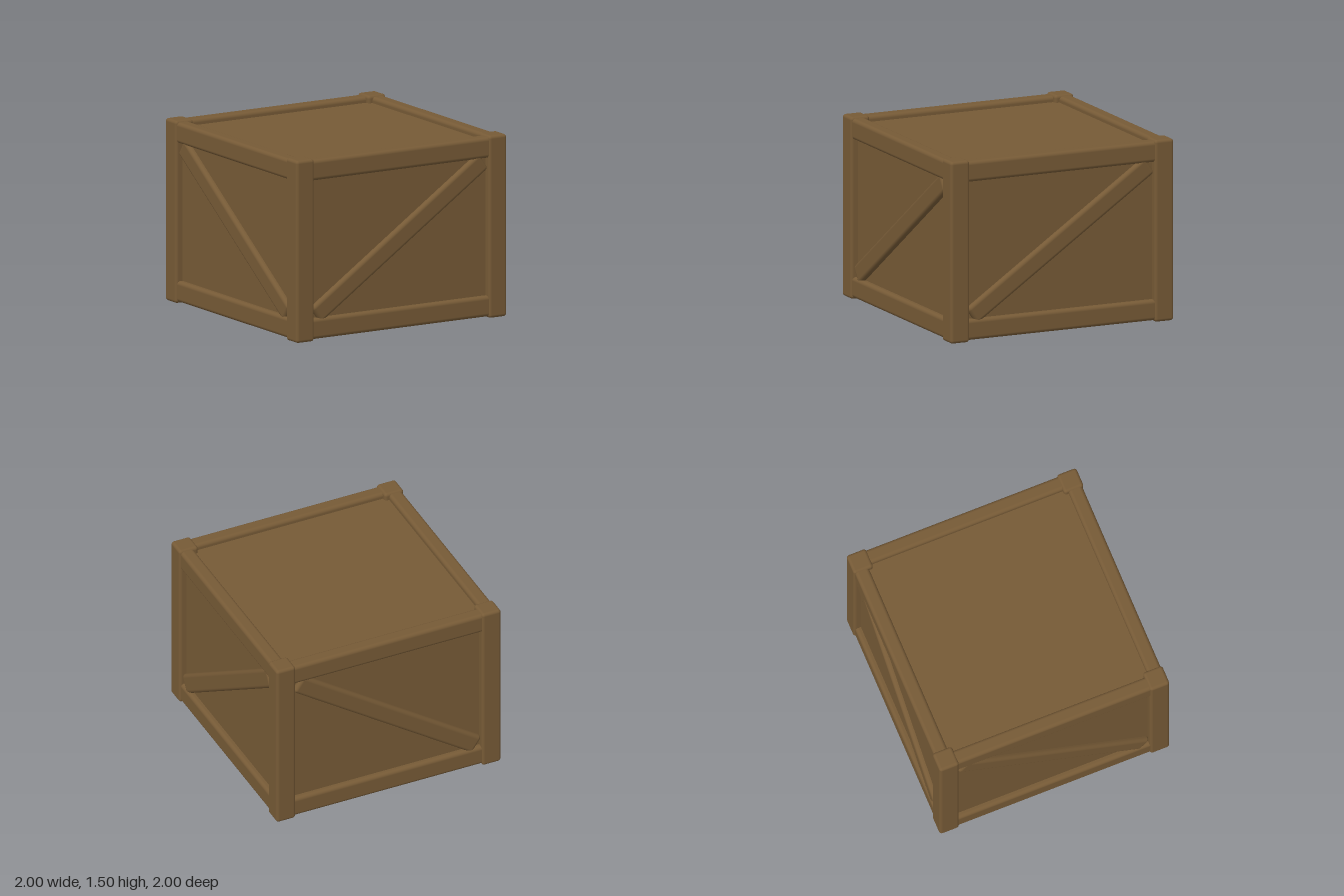
import * as THREE from 'three';
import { RoundedBoxGeometry } from 'three/addons/geometries/RoundedBoxGeometry.js';

const HEIGHT = 1.5, POST = 0.17, PANEL = 0.94;

export function createModel() {
  const crate = new THREE.Group();
  crate.name = 'crate';
  const wood = new THREE.MeshStandardMaterial({ color: 0x765a36 });

  const add = (parent, name, geometry, x, y, z) => {
    const mesh = new THREE.Mesh(geometry, wood);
    mesh.name = name;
    mesh.position.set(x, y, z);
    parent.add(mesh);
    return mesh;
  };

  // Closed inner box: its faces are the recessed panels, lid and floor
  add(crate, 'panels', new THREE.BoxGeometry(2 * PANEL, 1.38, 2 * PANEL), 0, HEIGHT / 2, 0);

  // Corner posts
  const post = new RoundedBoxGeometry(POST, HEIGHT, POST, 4, 0.025);
  for (const x of [-1, 1]) {
    for (const z of [-1, 1]) {
      add(crate, 'cornerPost', post, x * (1 - POST / 2), HEIGHT / 2, z * (1 - POST / 2));
    }
  }

  // Each side has a top rail, a bottom rail and a diagonal brace
  const rail = new RoundedBoxGeometry(1.76, 0.17, 0.12, 4, 0.03);
  const brace = new RoundedBoxGeometry(1.93, 0.16, 0.1, 4, 0.03);
  const braceAngle = Math.atan(0.687);
  const sides = ['frontSide', 'rightSide', 'backSide', 'leftSide'];
  sides.forEach((name, i) => {
    const side = new THREE.Group();
    side.name = name;
    side.rotation.y = i * Math.PI / 2;
    add(side, 'topRail', rail, 0, 1.403, 0.928);
    add(side, 'bottomRail', rail, 0, 0.097, 0.928);
    // Opposite braces run parallel, so the far two tilt the other way
    const tilt = i < 2 ? braceAngle : -braceAngle;
    add(side, 'diagonalBrace', brace, 0, HEIGHT / 2, 0.93).rotation.z = tilt;
    crate.add(side);
  });

  return crate;
}
